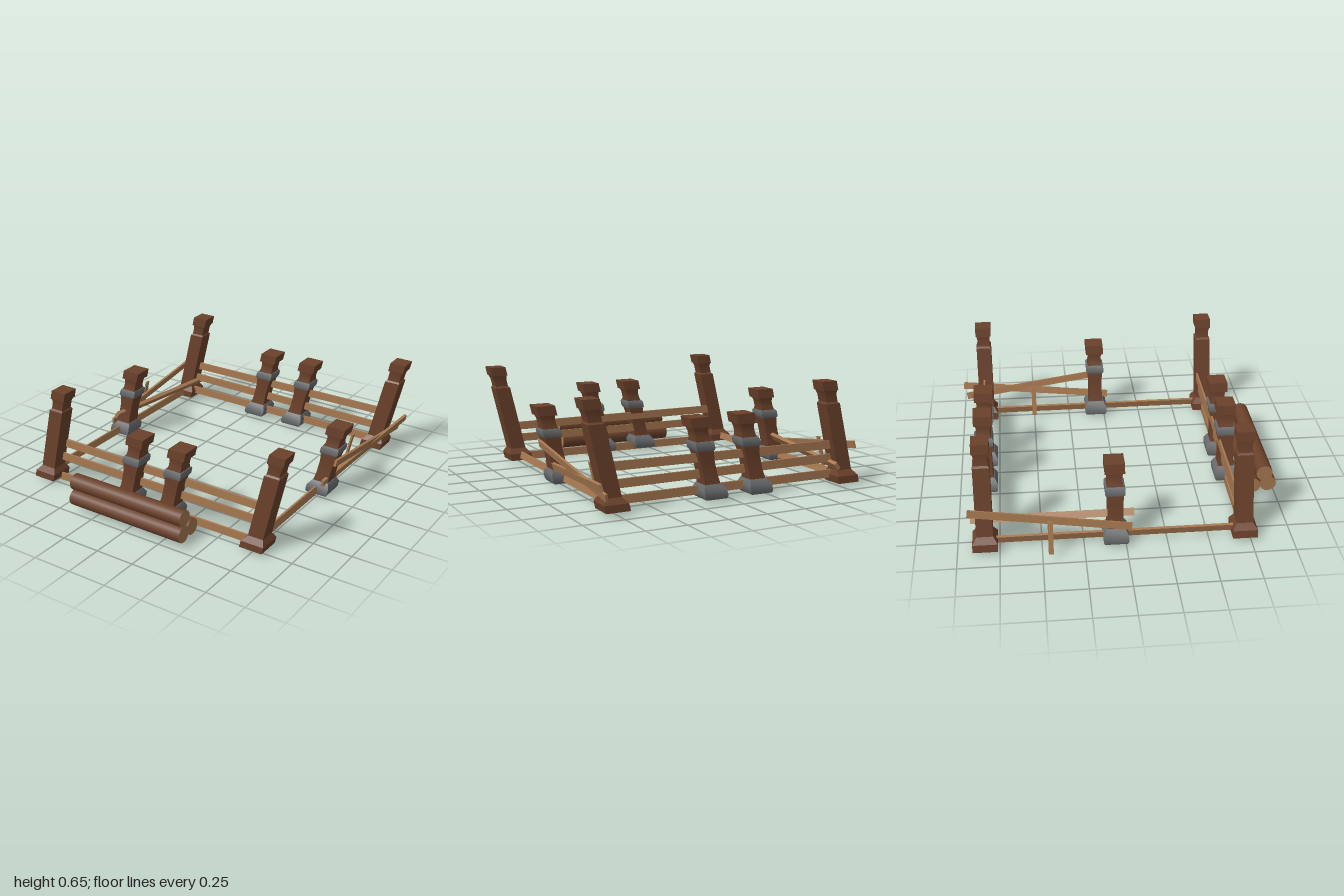
import * as THREE from 'three';
import { toCreasedNormals } from 'three/addons/utils/BufferGeometryUtils.js';

const LEAN = 0.235; // everything leans toward +x as it rises
const bark = new THREE.MeshStandardMaterial({ color: 0x6b412b });
const plank = new THREE.MeshStandardMaterial({ color: 0xa67850 });
const stone = new THREE.MeshStandardMaterial({ color: 0x6c6e70 });
const lean = new THREE.Matrix4().set(1, LEAN, 0, 0, 0, 1, 0, 0, 0, 0, 1, 0, 0, 0, 0, 1);

function add(parent, name, geometry, material) {
  const mesh = new THREE.Mesh(geometry, material);
  mesh.name = name;
  parent.add(mesh);
  return mesh;
}

// Square block through [height, width] sections, closed at both ends, leaning
function block(sections) {
  const pts = sections.map(([y, w]) => new THREE.Vector2(w / Math.SQRT2, y));
  pts.unshift(new THREE.Vector2(0, sections[0][0]));
  pts.push(new THREE.Vector2(0, sections[sections.length - 1][0]));
  const g = new THREE.LatheGeometry(pts, 4, Math.PI / 4);
  return toCreasedNormals(g, 0.6).applyMatrix4(lean);
}

function cornerPost(x, z) {
  const g = new THREE.Group();
  g.name = 'cornerPost';
  add(g, 'postBase', block([[0.02, 0.15], [0.065, 0.15], [0.1, 0.1]]), bark);
  add(g, 'postShaft', block([[0.08, 0.1], [0.515, 0.1], [0.525, 0.082], [0.57, 0.082], [0.6, 0.095]]), bark);
  add(g, 'postCap', block([[0.597, 0.105], [0.655, 0.105]]), bark);
  g.position.set(x, 0, z);
  return g;
}

function gatePost(x, z) {
  const g = new THREE.Group();
  g.name = 'gatePost';
  add(g, 'stoneBase', block([[0.02, 0.135], [0.035, 0.15], [0.075, 0.15], [0.108, 0.11]]), stone);
  add(g, 'postShaft', block([[0.1, 0.104], [0.16, 0.092], [0.25, 0.092], [0.31, 0.104],
    [0.36, 0.1], [0.385, 0.088], [0.42, 0.088], [0.447, 0.1]]), bark);
  add(g, 'stoneBand', block([[0.308, 0.11], [0.32, 0.12], [0.35, 0.12], [0.362, 0.11]]), stone);
  add(g, 'postCap', block([[0.445, 0.12], [0.505, 0.12]]), bark);
  g.position.set(x, 0, z);
  return g;
}

// Flat board between two points: h is its height, t its thickness
function board(parent, name, a, b, h, t, roll = 0) {
  const A = new THREE.Vector3(...a), B = new THREE.Vector3(...b);
  const g = new THREE.BoxGeometry(t, h, A.distanceTo(B)).rotateZ(roll);
  const mesh = add(parent, name, g, plank);
  mesh.position.copy(A).add(B).multiplyScalar(0.5);
  mesh.lookAt(B);
}

function log(x0, x1, y, z, r) {
  const g = new THREE.Group();
  g.name = 'log';
  const len = x1 - x0;
  add(g, 'logBark', new THREE.CylinderGeometry(r, r, len, 16, 1, true).rotateZ(Math.PI / 2), bark);
  for (const s of [-1, 1]) {
    const end = add(g, 'logEnd', new THREE.CircleGeometry(r, 16), plank);
    end.rotation.y = s * Math.PI / 2;
    end.position.x = s * len / 2;
  }
  g.position.set((x0 + x1) / 2, y, z);
  return g;
}

export function createModel() {
  const model = new THREE.Group();
  model.name = 'fence';
  const left = 0.742, right = -0.813, front = 0.715, back = -0.835;

  // Posts
  for (const z of [front, back]) {
    for (const x of [left, right]) model.add(cornerPost(x, z));
    for (const x of [-0.19, 0.115]) model.add(gatePost(x, z));
  }
  for (const x of [left, right]) model.add(gatePost(x, -0.06));

  // Front and back rails: [height at -x end, height at +x end, z offset]
  const rails = new THREE.Group();
  rails.name = 'rails';
  model.add(rails);
  const frontRails = [[0.028, 0.036, -0.008], [0.165, 0.168, -0.027], [0.257, 0.252, -0.042]];
  const backRails = [[0.07, 0.066, 0.02], [0.172, 0.162, 0.006], [0.258, 0.268, -0.008]];
  for (const [z, set] of [[front, frontRails], [back, backRails]]) {
    for (const [y0, y1, dz] of set) {
      board(rails, 'rail', [-0.8 + LEAN * y0, y0, z + dz], [0.74 + LEAN * y1, y1, z + dz], 0.052, 0.012);
    }
  }

  // Low side rails
  for (const x of [left, right]) {
    board(rails, 'sideRail', [x + 0.008, 0.055, 0.7], [x + 0.008, 0.055, -0.82], 0.045, 0.017, -0.23);
  }

  // Fallen side boards
  const fallen = new THREE.Group();
  fallen.name = 'fallenBoards';
  model.add(fallen);
  board(fallen, 'fallenBoard', [0.862, 0.262, -0.01], [0.847, 0.125, -0.975], 0.045, 0.016, 0.2);
  board(fallen, 'fallenBoard', [0.8, 0.122, 0.03], [0.887, 0.19, -0.995], 0.045, 0.018, 0.25);
  board(fallen, 'fallenBoard', [-0.838, 0.12, 0.035], [-0.826, 0.262, -0.93], 0.045, 0.014, 0.2);
  board(fallen, 'fallenBoard', [-0.785, 0.188, 0.055], [-0.71, 0.135, -0.92], 0.045, 0.024, 0.6);

  // Loose upright slats
  for (const [x, z] of [[0.687, -0.5], [-0.952, -0.45]]) {
    const slat = add(model, 'slat', new THREE.BoxGeometry(0.012, 0.195, 0.03).translate(0, 0.128, 0).applyMatrix4(lean), plank);
    slat.position.set(x, 0, z);
  }

  // Log pile
  const pile = new THREE.Group();
  pile.name = 'logPile';
  model.add(pile);
  pile.add(log(-0.415, 0.395, 0.088, 0.948, 0.052));
  pile.add(log(-0.43, 0.385, 0.088, 0.846, 0.052));
  pile.add(log(-0.43, 0.382, 0.175, 0.918, 0.052));

  return model;
}
